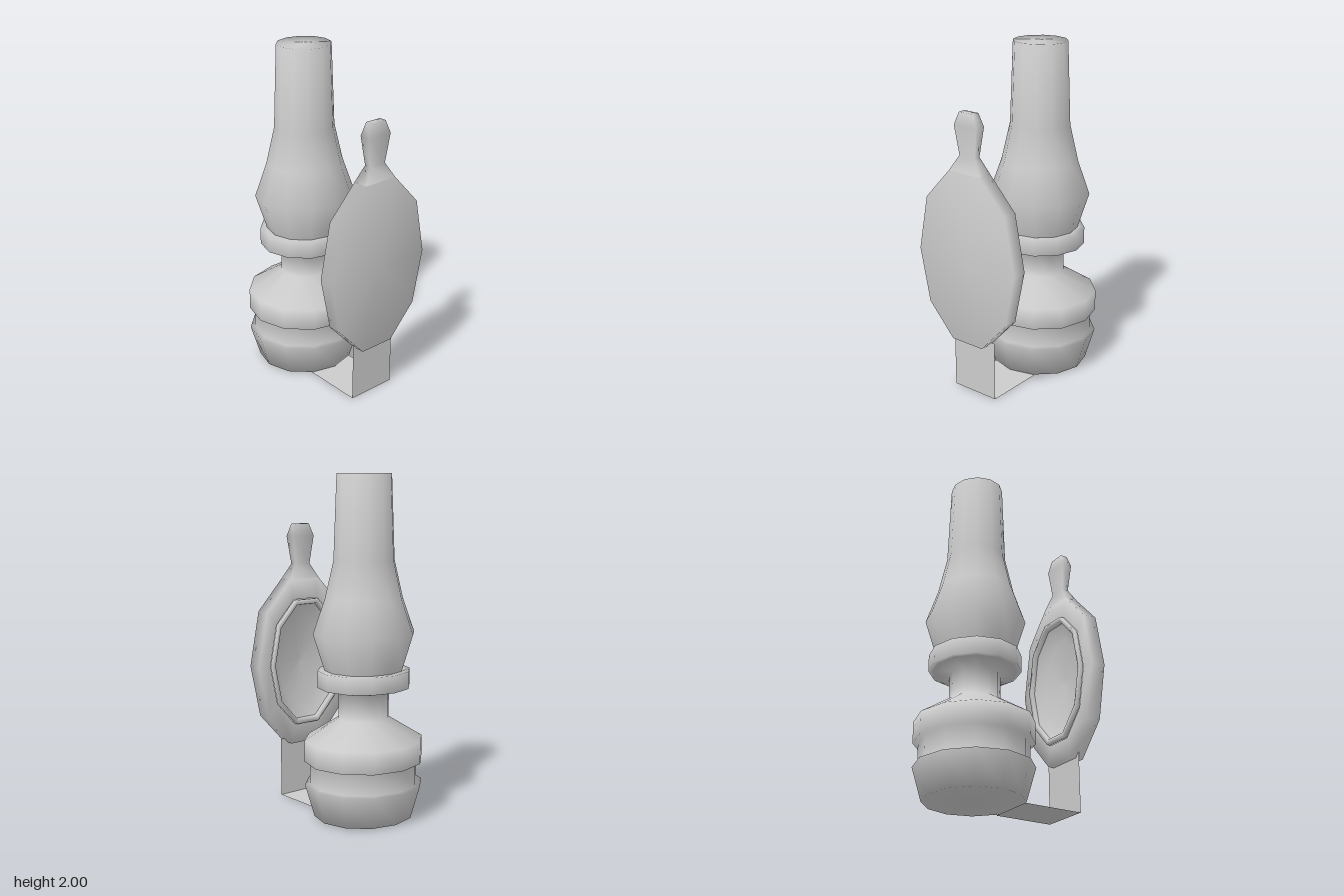
import * as THREE from 'three';

const mat = new THREE.MeshStandardMaterial({ color: 0xcccccc });
const thin = new THREE.MeshStandardMaterial({ color: 0xcccccc, side: THREE.DoubleSide });

// Skin a surface over a list of loops (arrays of [x, y, z]) with equal point counts
function loft(loops) {
  const n = loops[0].length;
  const index = [];
  for (let i = 0; i < loops.length - 1; i++) {
    for (let j = 0; j < n; j++) {
      const a = i * n + j, b = i * n + (j + 1) % n;
      index.push(a, a + n, b + n, a, b + n, b);
    }
  }
  const g = new THREE.BufferGeometry();
  g.setAttribute('position', new THREE.Float32BufferAttribute(loops.flat(2), 3));
  g.setIndex(index);
  g.computeVertexNormals();
  return g;
}

function add(group, name, geometry, material = mat) {
  const mesh = new THREE.Mesh(geometry, material);
  mesh.name = name;
  group.add(mesh);
  return mesh;
}

const lathe = (pts) => new THREE.LatheGeometry(pts.map(([r, y]) => new THREE.Vector2(r, y)), 12);

export function createModel() {
  const model = new THREE.Group();
  model.name = 'oilLamp';

  // Turned lamp body, slightly deeper than wide
  const lamp = new THREE.Group();
  lamp.name = 'lamp';
  lamp.position.set(-0.16, 0, -0.004);
  lamp.scale.z = 1.045;
  model.add(lamp);

  add(lamp, 'reservoir', lathe([
    [0, 0.005], [0.285, 0.005], [0.34, 0.2], [0.31, 0.205], [0.31, 0.335],
    [0.34, 0.337], [0.34, 0.465], [0.145, 0.59], [0.145, 0.745],
    [0.24, 0.77], [0.265, 0.775], [0.265, 0.875], [0.225, 0.876],
  ]));
  add(lamp, 'chimney', lathe([
    [0.225, 0.875], [0.29, 1.09], [0.222, 1.29], [0.173, 1.51], [0.155, 2], [0, 2],
  ]));

  // Reflector: oval ten-sided dish facing the lamp, with a raised lip
  const reflector = new THREE.Group();
  reflector.name = 'reflectorAssembly';
  reflector.position.z = 0.006;
  model.add(reflector);

  const half = [[0.11, 0.33], [0.285, 0.52], [0.352, 0.84], [0.287, 1.17], [0.11, 1.36]];
  const outline = [
    ...half.map(([z, y]) => [-z, y]),
    ...half.slice().reverse(),
  ];
  const ring = (x, s) => outline.map(([z, y]) => [x, 0.84 + (y - 0.84) * s, z * s]);
  add(reflector, 'reflectorDish', loft([
    ring(0.5, 0), ring(0.5, 1), ring(0.41, 1), ring(0.41, 0.76),
  ]));
  add(reflector, 'reflectorLip', loft([
    ring(0.41, 0.755), ring(0.385, 0.755), ring(0.385, 0.7), ring(0.41, 0.69),
  ]));
  add(reflector, 'reflectorBowl', loft([
    ring(0.41, 0.69), ring(0.455, 0.5), ring(0.47, 0),
  ]));

  // Finger grip above the dish: [y, half depth, inner x, outer x]
  const grip = [
    [1.695, 0, 0.453, 0.453], [1.695, 0.05, 0.43, 0.475], [1.62, 0.08, 0.42, 0.485],
    [1.45, 0.055, 0.432, 0.472], [1.36, 0.11, 0.41, 0.5],
  ];
  add(reflector, 'grip', loft(grip.map(([y, z, x0, x1]) =>
    [[x1, y, z], [x1, y, -z], [x0, y, -z], [x0, y, z]])));

  // Sheet-metal bracket joining the lamp base to the reflector
  const bracket = new THREE.Group();
  bracket.name = 'bracket';
  bracket.position.z = -0.006;
  model.add(bracket);
  const arm = add(bracket, 'bracketArm', new THREE.PlaneGeometry(0.37, 0.305), thin);
  arm.rotation.x = -Math.PI / 2;
  arm.position.set(0.265, 0, 0);
  const upright = add(bracket, 'bracketUpright', new THREE.PlaneGeometry(0.305, 0.36), thin);
  upright.rotation.y = Math.PI / 2;
  upright.position.set(0.45, 0.18, 0);

  return model;
}
